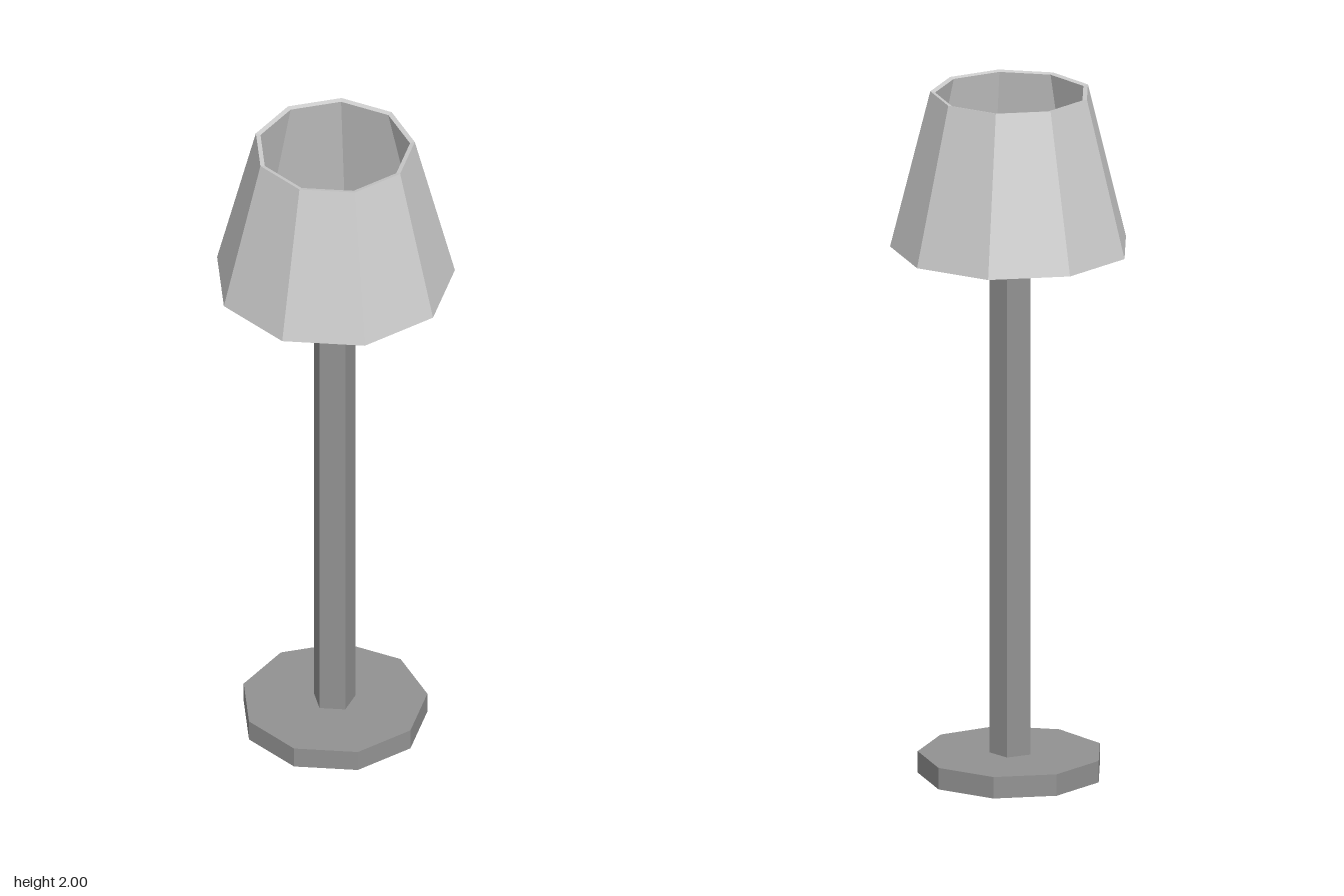
import * as THREE from 'three';

const CENTRE_Z = 0.0095; // odd-sided rings sit slightly forward so the bounds are centred

export function createModel() {
  const model = new THREE.Group();
  model.name = 'floorLamp';

  const metal = new THREE.MeshStandardMaterial({ color: 0x929292, flatShading: true });
  metal.name = 'grey metal';
  const fabric = new THREE.MeshStandardMaterial({ color: 0xcccccc, flatShading: true });
  fabric.name = 'pale shade';

  // Every part has a corner at the back and a flat side at the front
  function add(name, geometry, material, y = 0) {
    const mesh = new THREE.Mesh(geometry, material);
    mesh.name = name;
    mesh.rotation.y = Math.PI;
    mesh.position.set(0, y, CENTRE_Z);
    model.add(mesh);
  }

  // Nine-sided foot
  const baseHeight = 0.063;
  add('base', new THREE.CylinderGeometry(0.264, 0.264, baseHeight, 9), metal, baseHeight / 2);

  // Five-sided pole, ending inside the shade
  const poleTop = 1.77;
  add('pole', new THREE.CylinderGeometry(0.062, 0.062, poleTop - baseHeight, 5), metal, (poleTop + baseHeight) / 2);

  // Open tapered shade with a thin wall, its rims square to the slope
  const profile = [
    [0.342, 1.544], [0.2285, 2], [0.215, 1.9966], [0.3285, 1.5406], [0.342, 1.544],
  ].map(([r, y]) => new THREE.Vector2(r, y));
  add('lampshade', new THREE.LatheGeometry(profile, 9), fabric);

  return model;
}
